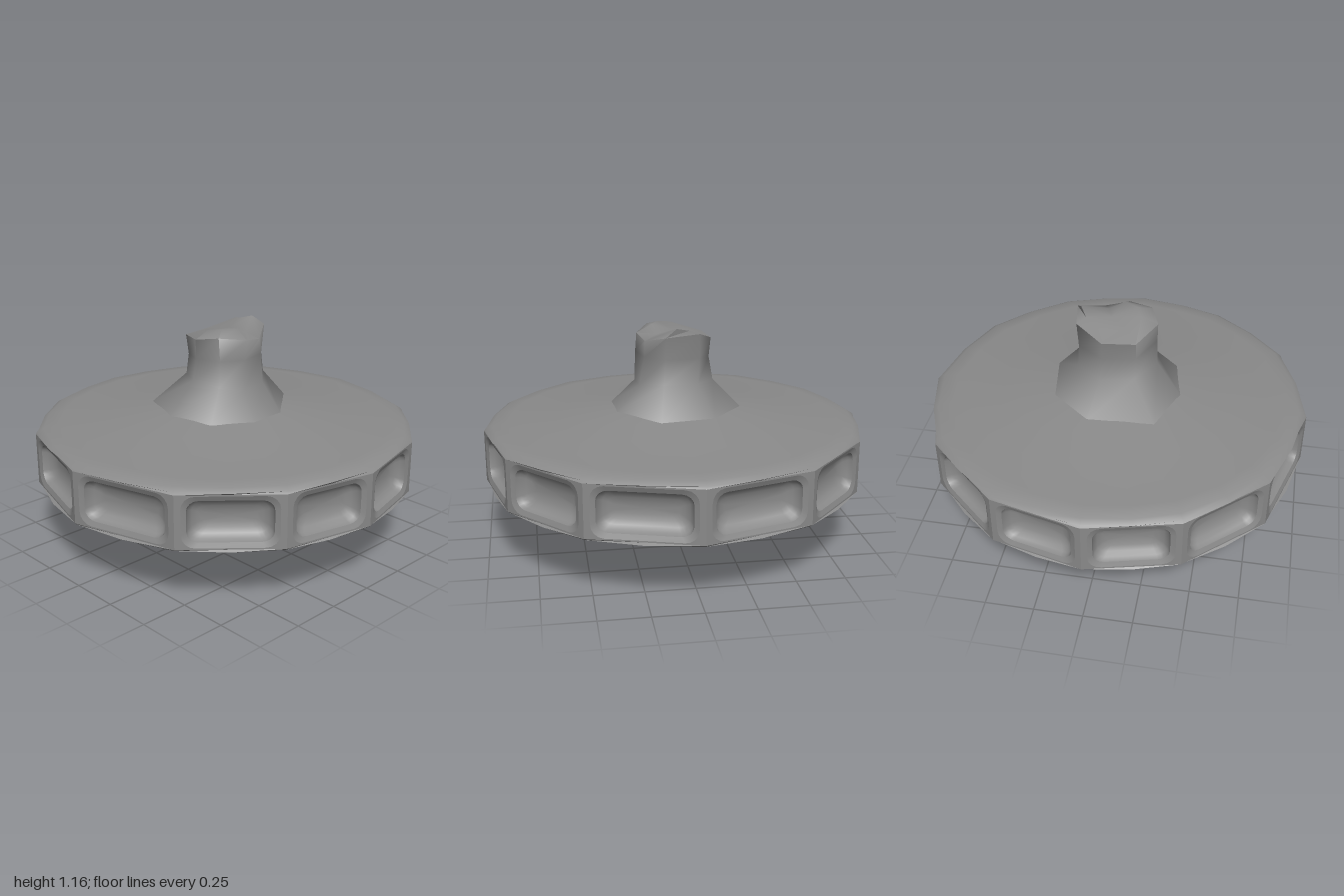
import * as THREE from 'three';
import { toCreasedNormals, mergeGeometries } from 'three/addons/utils/BufferGeometryUtils.js';

const material = new THREE.MeshStandardMaterial({ color: 0x8a8a8a, side: THREE.DoubleSide });

// Skin between closed rings of [x, y, z] points; a one-point ring is a tip
function loft(rings, crease) {
  const pos = [];
  for (let i = 0; i + 1 < rings.length; i++) {
    const a = rings[i], b = rings[i + 1], n = Math.max(a.length, b.length);
    for (let j = 0; j < n; j++) {
      const k = (j + 1) % n;
      if (a.length > 1) pos.push(...a[j], ...a[k], ...(b[k] || b[0]));
      if (b.length > 1) pos.push(...a[j % a.length], ...b[k], ...b[j]);
    }
  }
  const g = new THREE.BufferGeometry();
  g.setAttribute('position', new THREE.Float32BufferAttribute(pos, 3));
  return toCreasedNormals(g, crease);
}

function addMesh(parent, name, geometry) {
  const mesh = new THREE.Mesh(geometry, material);
  mesh.name = name;
  parent.add(mesh);
  return mesh;
}

// Rounded rectangle outline, counter-clockwise
function roundedPoints(w, h, r) {
  const points = [];
  for (let c = 0; c < 4; c++) {
    const cx = (c === 0 || c === 3 ? 1 : -1) * (w / 2 - r);
    const cy = (c < 2 ? 1 : -1) * (h / 2 - r);
    for (let i = 0; i <= 4; i++) {
      const t = (c + i / 4) * Math.PI / 2;
      points.push(new THREE.Vector2(cx + r * Math.cos(t), cy + r * Math.sin(t)));
    }
  }
  return points;
}

// Rim panel with softly rounded borders and a hollow bowl, facing +z
function rimPanel(w, h) {
  const hw = w - 0.06, hh = h - 0.015;
  const shape = new THREE.Shape([[-1, -1], [1, -1], [1, 1], [-1, 1]]
    .map(([x, y]) => new THREE.Vector2(x * w / 2, y * h / 2)));
  const outline = roundedPoints(hw, hh, 0.065);
  shape.holes.push(new THREE.Path(outline.slice().reverse()));
  const face = new THREE.ShapeGeometry(shape).toNonIndexed();
  face.deleteAttribute('uv');
  const rings = [[0, 0], [0.025, 0.01], [0.032, 0.035], [0.05, 0.055], [0.075, 0.068], [0.1, 0.074]]
    .map(([inset, depth]) => outline.map(p => [
      p.x * (1 - 2 * inset / hw), p.y * (1 - 2 * inset / hh), -depth]));
  rings.push([[0, 0, -0.077]]);
  return mergeGeometries([face, loft(rings, 0.8)]);
}

export function createModel() {
  const model = new THREE.Group();

  // Twelve slightly uneven rim corners
  const quarter = [0, 32.7, 62.4, 90, 117.6, 147.3];
  const angles = [...quarter, ...quarter.map(a => a + 180)].map(a => a * Math.PI / 180);
  const at = (a, r, y) => [r * Math.sin(a), y, r * Math.cos(a)];

  // Ring with a point at each corner and between corners; bulge 0 is straight, 1 is round
  const ring = (r, y, bulge) => angles.flatMap((a, i) => {
    const half = ((angles[i + 1] ?? 2 * Math.PI) - a) / 2;
    const chord = Math.cos(half);
    return [at(a, r, y), at(a + half, r * (chord + (1 - chord) * bulge), y)];
  });
  const low = 0.338, high = 0.61;

  // Wheel disc, upper and lower faces
  addMesh(model, 'discTop', loft([ring(1, high, 0), ring(0.99, 0.62, 0.65), ring(0.96, 0.637, 0.7),
    ring(0.88, 0.646, 0.8), ring(0.62, 0.661, 1), ring(0.33, 0.712, 1), ring(0.15, 0.73, 1)], 1.2));
  addMesh(model, 'discBottom', loft([[[0, 0.28, 0]], ring(0.38, 0.284, 1),
    ring(0.86, 0.308, 0.8), ring(0.96, 0.32, 0.7), ring(0.99, 0.329, 0.65), ring(1, low, 0)], 1.2));

  // Hollowed panels around the rim
  const rim = new THREE.Group();
  rim.name = 'rim';
  model.add(rim);
  const corners = angles.map(a => at(a, 1, 0));
  corners.forEach((a, i) => {
    const b = corners[(i + 1) % corners.length];
    const dx = b[0] - a[0], dz = b[2] - a[2];
    const panel = addMesh(rim, 'rimPanel', rimPanel(Math.hypot(dx, dz), high - low));
    panel.position.set((a[0] + b[0]) / 2, (low + high) / 2, (a[2] + b[2]) / 2);
    panel.rotation.y = Math.atan2(-dz, dx);
  });

  // Blunt knob underneath
  addMesh(model, 'lowerKnob', loft([
    [[-0.02, 0, 0]],
    [[-0.02, 0.055, 0.25], [0.16, 0.06, 0.21], [0.25, 0.06, 0.03], [0.2, 0.1, -0.17],
      [0, 0.14, -0.23], [-0.19, 0.12, -0.18], [-0.28, 0.09, 0], [-0.19, 0.055, 0.17]],
    [[0, 0.29, 0.34], [0.26, 0.29, 0.25], [0.39, 0.29, 0], [0.28, 0.29, -0.27],
      [0, 0.29, -0.385], [-0.26, 0.29, -0.26], [-0.36, 0.29, 0], [-0.25, 0.29, 0.24]],
  ], 1.05));

  // Flared neck with a ragged, broken top and a folded flap at the back
  addMesh(model, 'brokenNeck', loft([
    [[-0.05, 0.71, 0.34], [0.2, 0.71, 0.29], [0.32, 0.712, 0.1], [0.31, 0.712, -0.1],
      [0.11, 0.715, -0.34], [-0.17, 0.715, -0.3], [-0.34, 0.715, -0.1], [-0.31, 0.705, 0.24]],
    [[-0.02, 0.88, 0.21], [0.13, 0.86, 0.17], [0.2, 0.84, 0.06], [0.19, 0.85, -0.09],
      [0.08, 0.87, -0.205], [-0.1, 0.87, -0.19], [-0.2, 0.86, -0.06], [-0.17, 0.87, 0.12]],
    [[0, 1, 0.205], [0.13, 1, 0.16], [0.195, 1, 0.05], [0.165, 1, -0.1],
      [0.07, 1, -0.195], [-0.11, 1, -0.18], [-0.18, 0.98, -0.05], [-0.15, 0.98, 0.12]],
    [[0, 1.1, 0.207], [0.12, 1.12, 0.16], [0.19, 1.1, 0.03], [0.16, 1.08, -0.09],
      [0.07, 1.12, -0.22], [-0.11, 1.13, -0.19], [-0.19, 1.08, -0.05], [-0.17, 1.08, 0.12]],
    [[0, 1.135, 0.12], [0.07, 1.145, 0.09], [0.11, 1.145, 0.02], [0.09, 1.11, -0.06],
      [0.01, 1.16, -0.19], [-0.06, 1.14, -0.15], [-0.1, 1.1, -0.03], [-0.08, 1.1, 0.06]],
    [[0, 1.12, -0.03]],
  ], 1.2));

  return model;
}
